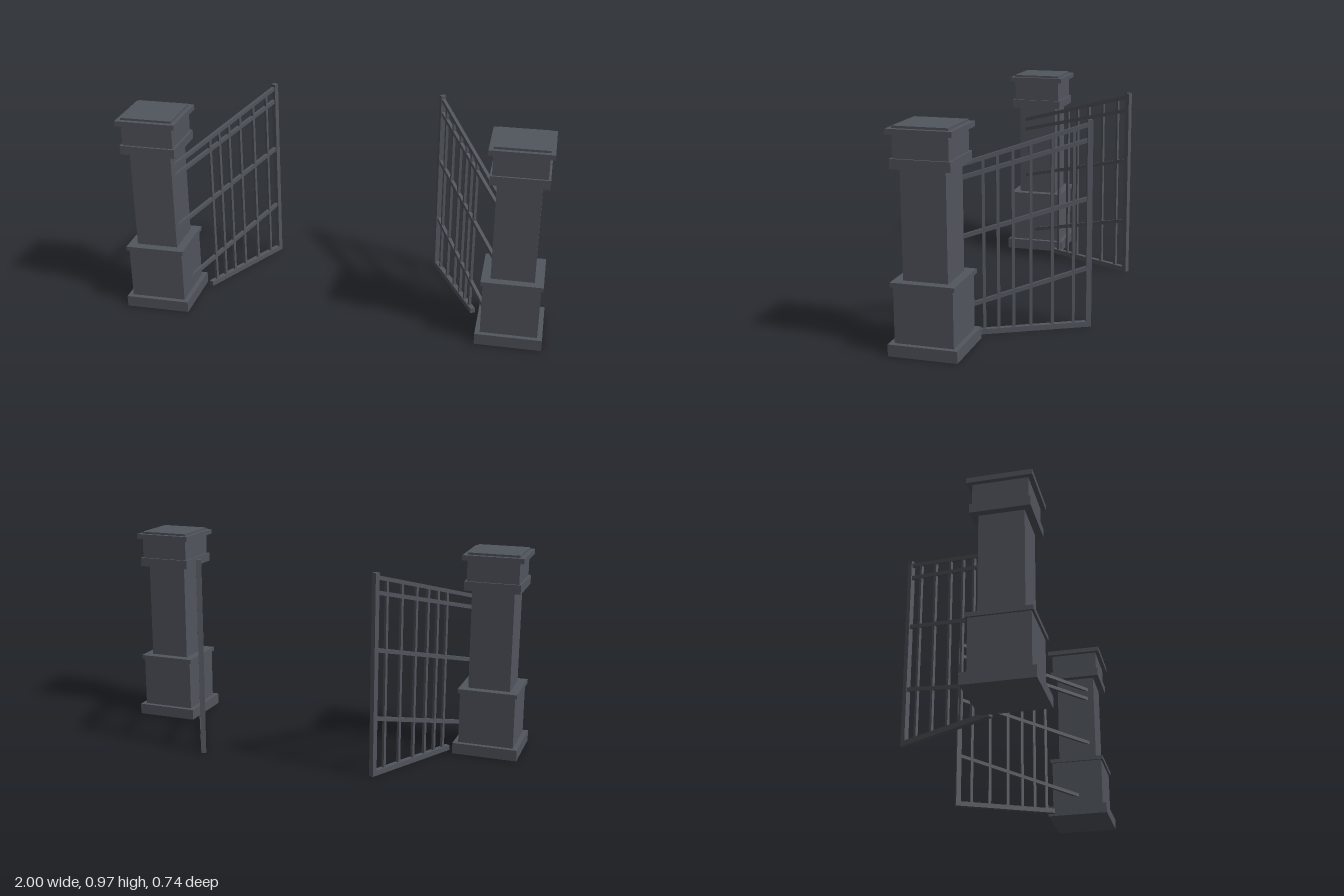
import * as THREE from 'three';

const iron = new THREE.MeshStandardMaterial({ color: 0x51555d });
iron.name = 'slate grey';

function box(parent, name, w, h, d, x, y, z) {
  const mesh = new THREE.Mesh(new THREE.BoxGeometry(w, h, d), iron);
  mesh.name = name;
  mesh.position.set(x, y, z);
  parent.add(mesh);
  return mesh;
}

// Square pillar as stacked courses: [name, width, bottom, top]
const COURSES = [
  ['plinth', 0.308, 0, 0.053],
  ['pedestal', 0.262, 0.053, 0.3],
  ['pedestalTrim', 0.282, 0.3, 0.32],
  ['shaft', 0.198, 0.32, 0.795],
  ['collar', 0.262, 0.795, 0.838],
  ['head', 0.242, 0.838, 0.938],
  ['cap', 0.284, 0.938, 0.962],
  ['capTop', 0.242, 0.962, 0.972],
];

function makePillar() {
  const pillar = new THREE.Group();
  for (const [name, w, y0, y1] of COURSES) box(pillar, name, w, y1 - y0, w, 0, (y0 + y1) / 2, 0);
  return pillar;
}

// Gate leaf: local x runs from the free end post towards the pillar
const DIR_X = 0.461, DIR_Z = 0.887, POST_X = 0.4255, POST_Z = -0.3515;
const RAILS = [[0.921, 0.274], [0.853, 0.254], [0.594, 0.254], [0.277, 0.257]]; // height at post, slope
const BAR_Z = [0.064, 0.008, -0.051, -0.12, -0.205, -0.29];
const RAIL_END = 0.718;

function makeGate() {
  const gate = new THREE.Group();
  box(gate, 'endPost', 0.024, 0.937, 0.024, 0, 0.4715, 0);
  box(gate, 'bottomRail', 0.522, 0.024, 0.024, 0.249, 0.015, 0);

  // Sloping rails running into the pillar
  for (const [y, slope] of RAILS) {
    const rail = box(gate, 'slopingRail', RAIL_END * Math.hypot(1, slope), 0.018, 0.016,
      RAIL_END / 2, y - slope * RAIL_END / 2, 0);
    rail.rotation.z = -Math.atan(slope);
  }

  // Upright bars, ending inside the top rail
  const [topY, topSlope] = RAILS[0];
  for (const z of BAR_Z) {
    const u = (z - POST_Z) / DIR_Z;
    const top = topY - topSlope * u;
    box(gate, 'uprightBar', 0.0135, top - 0.02, 0.0135, u, (top + 0.02) / 2, 0);
  }
  return gate;
}

export function createModel() {
  const model = new THREE.Group();
  model.name = 'gateway';
  for (const side of [1, -1]) {
    const label = side > 0 ? 'left' : 'right';
    const pillar = makePillar();
    pillar.name = label + 'Pillar';
    pillar.position.set(side * 0.846, 0, 0.216);

    const gate = makeGate();
    gate.name = label + 'Gate';
    gate.position.set(side * POST_X, 0, POST_Z);
    gate.rotation.y = Math.atan2(-DIR_Z, side * DIR_X);
    model.add(pillar, gate);
  }
  return model;
}
